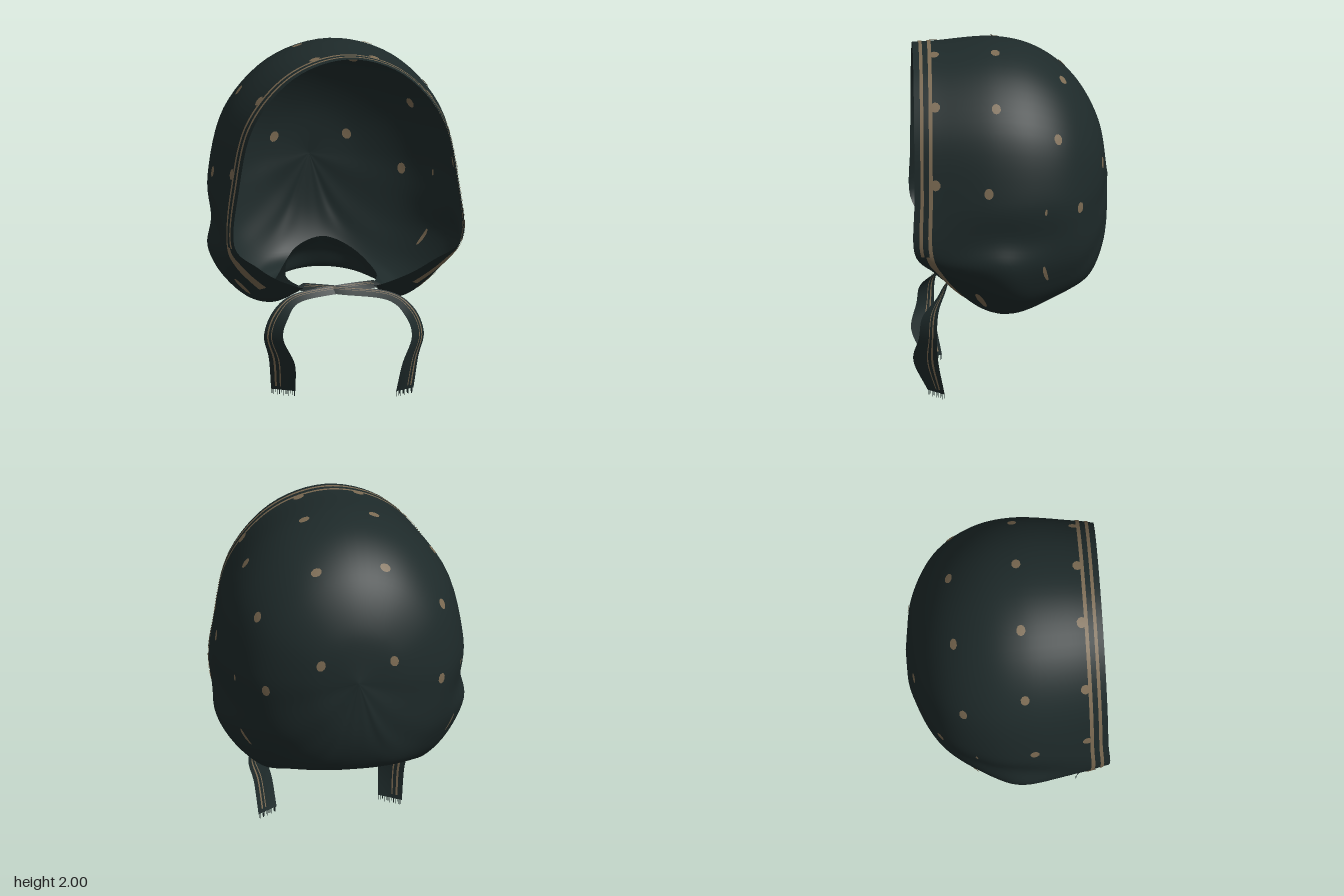
import * as THREE from 'three';

const V = (x, y, z) => new THREE.Vector3(x, y, z);
const spline = (pts, closed = false) => new THREE.CatmullRomCurve3(pts, closed, 'catmullrom', 0.5);

// Grid surface from a function of two parameters
function surface(fn, a0, a1, na, b0, b1, nb, wrap = false) {
  const pos = [], idx = [], cols = wrap ? na : na + 1;
  for (let j = 0; j <= nb; j++)
    for (let i = 0; i < cols; i++)
      pos.push(...fn(a0 + (a1 - a0) * i / na, b0 + (b1 - b0) * j / nb).toArray());
  for (let j = 0; j < nb; j++)
    for (let i = 0; i < na; i++) {
      const k = (i + 1) % cols, p = j * cols, q = p + cols;
      idx.push(p + i, q + i, p + k, p + k, q + i, q + k);
    }
  const g = new THREE.BufferGeometry();
  g.setAttribute('position', new THREE.Float32BufferAttribute(pos, 3));
  g.setIndex(idx);
  g.computeVertexNormals();
  return g;
}

// The same surface function pushed along its normal
const offset = (fn, d) => (a, b) => {
  const e = 0.01, p = fn(a, b);
  const da = fn(a + e, b).sub(fn(a - e, b)), db = fn(a, b + e).sub(fn(a, b - e));
  return p.add(db.cross(da).normalize().multiplyScalar(d));
};

// Hood meridians: from the back of the head out to the rim or the hem
function hoodColumns() {
  const pole = V(0, 1.22, -0.55);
  // Dome rings: half width, half height, z
  const rings = [[0.29, 0.3, -0.5], [0.53, 0.555, -0.36], [0.66, 0.72, -0.149], [0.7, 0.78, 0.1], [0.66, 0.757, 0.42], [0.635, 0.75, 0.55]];
  const cols = [];
  for (const deg of [0, 30, 60, 90]) {
    const f = deg * Math.PI / 180;
    cols.push([pole, ...rings.map(([w, h, z]) => V(w * Math.sin(f), 1.22 + h * Math.cos(f), z))]);
  }
  // Cheek, knot and nape
  const lower = [
    [[0.27, 1.1, -0.5], [0.51, 1.01, -0.36], [0.64, 0.98, -0.13], [0.69, 0.99, 0.1], [0.68, 0.93, 0.42], [0.658, 0.92, 0.55]],
    [[0.22, 1.0, -0.515], [0.46, 0.85, -0.37], [0.65, 0.82, -0.1], [0.71, 0.83, 0.1], [0.63, 0.78, 0.36], [0.5, 0.77, 0.44]],
    [[0.17, 0.93, -0.52], [0.37, 0.75, -0.39], [0.54, 0.66, -0.15], [0.62, 0.66, 0.06], [0.47, 0.61, 0.24], [0.36, 0.675, 0.36]],
    [[0.13, 0.9, -0.53], [0.29, 0.69, -0.41], [0.43, 0.58, -0.18], [0.46, 0.52, 0], [0.34, 0.51, 0.13], [0.2, 0.61, 0.28]],
    [[0.09, 0.89, -0.53], [0.2, 0.675, -0.44], [0.31, 0.59, -0.26], [0.34, 0.545, -0.12], [0.31, 0.57, -0.02], [0.26, 0.64, 0.06]],
    [[0.045, 0.885, -0.535], [0.1, 0.68, -0.46], [0.16, 0.61, -0.35], [0.18, 0.6, -0.28], [0.18, 0.68, -0.24], [0.17, 0.74, -0.18]],
    [[0, 0.88, -0.535], [0, 0.68, -0.465], [0, 0.62, -0.38], [0, 0.62, -0.32], [0, 0.72, -0.27], [0, 0.81, -0.2]],
  ];
  for (const pts of lower) cols.push([pole, ...pts.map((p) => V(...p))]);
  return cols.map((c) => spline(c));
}

export function createModel() {
  const group = new THREE.Group();
  const cloth = new THREE.MeshStandardMaterial({ color: 0x1e2a2a, side: THREE.DoubleSide });
  cloth.name = 'dark teal cloth';
  const tan = new THREE.MeshStandardMaterial({ color: 0x7c6b53, side: THREE.DoubleSide });
  tan.name = 'tan print';
  const add = (name, geo, mat) => {
    const m = new THREE.Mesh(geo, mat);
    m.name = name;
    group.add(m);
    return m;
  };
  // Prints show on both faces of the cloth
  const print = (name, fn, ...range) => {
    for (const d of [0.004, -0.004]) add(name, surface(offset(fn, d), ...range), tan);
  };

  // Hood: u runs 0..20 around the opening, v runs 0..6 from the back to the edge
  const columns = hoodColumns();
  const loops = new Map();
  const hood = (u, v) => {
    const key = v.toFixed(5);
    if (!loops.has(key)) {
      const half = columns.map((c) => c.getPoint(Math.min(Math.max(v / 6, 0), 1)));
      const other = half.slice(1, -1).reverse().map((p) => V(-p.x, p.y, p.z));
      loops.set(key, spline([...half, ...other], true));
    }
    return loops.get(key).getPoint((((u % 20) + 20) % 20) / 20);
  };
  add('hood', surface(hood, 0, 20, 120, 0, 6, 48, true), cloth);

  // Border stripes along the face opening, with one broad band on each cheek
  for (const [a, b] of [[5.5, 5.69], [5.13, 5.26]])
    print('rimStripe', hood, -4.1, 4.1, 72, a, b, 1);
  print('cheekStripe', hood, 4.1, 6, 20, 5.13, 5.42, 3);
  print('cheekStripe', hood, -6, -4.1, 20, 5.13, 5.42, 3);

  // Spots: position, half size around the opening, half size along the meridian
  const spots = [
    [0.2, 1.82, -0.3], [0.54, 1.55, -0.27], [0.21, 1.33, -0.52], [0.48, 1.15, -0.36],
    [0.2, 1.98, 0.085], [0.54, 1.74, 0.085], [0.69, 1.28, 0.13],
    [0.17, 1.95, 0.43], [0.49, 1.73, 0.43], [0.66, 1.31, 0.43],
    [0.52, 0.63, 0.16, 0.075, 0.024], [0.6, 0.78, -0.19, 0.06, 0.013], [0.62, 1.15, -0.18, 0.02, 0.008],
  ];
  for (const [x, y, z, ru = 0.032, rv = 0.026] of spots) {
    const target = V(x, y, z);
    let best = Infinity, u0 = 0, v0 = 0;
    for (let u = 0; u <= 10; u += 0.05)
      for (let v = 0.5; v < 5.9; v += 0.05) {
        const d = hood(u, v).distanceToSquared(target);
        if (d < best) [best, u0, v0] = [d, u, v];
      }
    const su = hood(u0 + 0.1, v0).distanceTo(hood(u0 - 0.1, v0)) / 0.2;
    const sv = hood(u0, v0 + 0.1).distanceTo(hood(u0, v0 - 0.1)) / 0.2;
    for (const side of [1, -1])
      for (const d of [0.005, -0.005]) {
        const lifted = offset(hood, d);
        const disc = (t, r) => lifted(side * (u0 + r * Math.cos(t) * ru / su), v0 + side * r * Math.sin(t) * rv / sv);
        add('spot', surface(disc, 0, Math.PI * 2, 10, 0, 1, 2, true), tan);
      }
  }

  // Chin ties: a ribbon between an outer and an inner edge, crossing under the chin
  const outer = [[0.2, 0.64, 0.27], [0, 0.63, 0.31], [-0.27, 0.6, 0.37], [-0.4, 0.52, 0.41], [-0.46, 0.38, 0.42], [-0.43, 0.24, 0.41], [-0.41, 0.06, 0.375]];
  const inner = [[0.27, 0.6, 0.26], [0, 0.585, 0.34], [-0.25, 0.56, 0.42], [-0.34, 0.48, 0.5], [-0.37, 0.37, 0.52], [-0.31, 0.23, 0.55], [-0.29, 0.06, 0.47]];
  for (const side of [1, -1]) {
    const edge = (pts) => spline(pts.map(([x, y, z], i) =>
      V(x * side, y - (side < 0 ? 0.025 * i / 6 : 0), z + (side < 0 && i === 1 ? 0.02 : 0))));
    const a = edge(outer), b = edge(inner);
    const ribbon = (t, w) => a.getPoint(Math.min(Math.max(t, 0), 1)).lerp(b.getPoint(Math.min(Math.max(t, 0), 1)), w);
    const name = side > 0 ? 'rightTie' : 'leftTie';
    add(name, surface(ribbon, 0, 1, 48, 0, 1, 4), cloth);
    for (const [w0, w1] of [[0.18, 0.26], [0.38, 0.43]])
      print(name + 'Stripe', ribbon, 0.02, 0.98, 48, w0, w1, 1);

    // Frayed threads at the end of the tie
    for (let i = 0; i < 13; i++) {
      const len = 0.024 + 0.008 * Math.sin(i * 2.3);
      const thread = add('fringe', new THREE.BoxGeometry(0.003, len, 0.003), cloth);
      thread.position.copy(ribbon(1, (i + 0.5) / 13));
      thread.position.y -= len / 2;
    }
  }
  return group;
}
